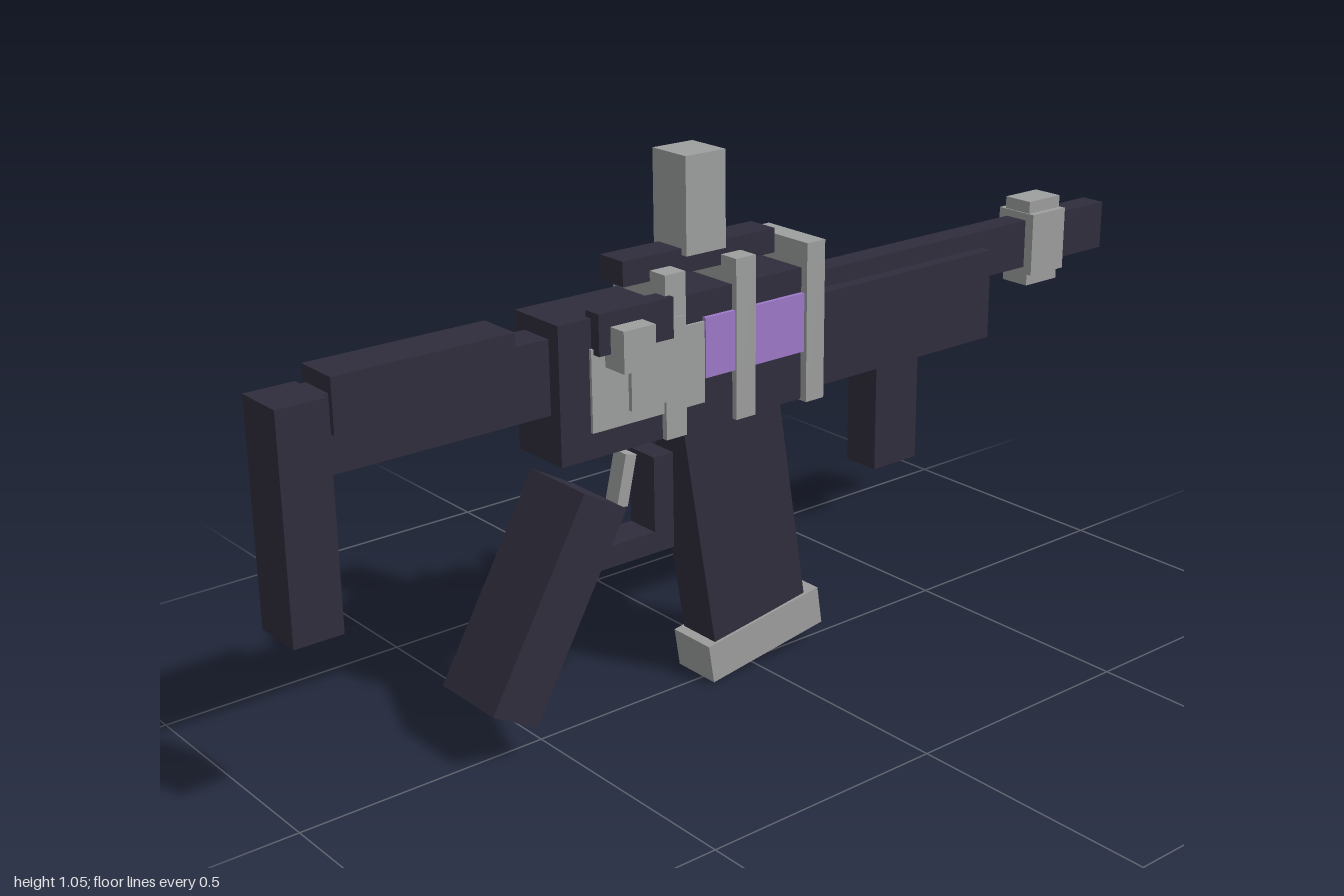
import * as THREE from 'three';

const material = (name, color) => {
  const m = new THREE.MeshStandardMaterial({ color });
  m.name = name;
  return m;
};

export function createModel() {
  const dark = material('dark polymer', 0x2f2d3c);
  const grey = material('grey metal', 0x9d9e9f);
  const purple = material('purple inlay', 0x9c78c8);

  const model = new THREE.Group();
  model.name = 'blockyRifle';
  const MID = -0.02; // centre plane of the body

  // Upright block from its x, y and z limits
  function block(name, mat, x0, x1, y0, y1, z0, z1) {
    const mesh = new THREE.Mesh(new THREE.BoxGeometry(x1 - x0, y1 - y0, z1 - z0), mat);
    mesh.position.set((x0 + x1) / 2, (y0 + y1) / 2, (z0 + z1) / 2);
    mesh.name = name;
    model.add(mesh);
    return mesh;
  }
  // Upright block centred on the body plane
  const centred = (name, mat, x0, x1, y0, y1, half) =>
    block(name, mat, x0, x1, y0, y1, MID - half, MID + half);

  // Tilted block centred on the body plane
  function tilted(name, mat, x, y, width, height, half, degrees) {
    const mesh = centred(name, mat, -width / 2, width / 2, -height / 2, height / 2, half);
    mesh.position.set(x, y, MID);
    mesh.rotation.z = THREE.MathUtils.degToRad(degrees);
  }

  // Stock
  centred('buttPlate', dark, -1, -0.905, 0.355, 0.77, 0.052);
  centred('stockTube', dark, -0.905, -0.465, 0.63, 0.77, 0.036);
  centred('cheekRest', dark, -0.895, -0.54, 0.70, 0.8, 0.046);

  // Receiver, barrel and handguard
  centred('receiver', dark, -0.465, 0.1, 0.54, 0.8, 0.064);
  centred('barrel', dark, 0.1, 1, 0.67, 0.77, 0.026);
  centred('handguard', dark, 0.12, 0.625, 0.55, 0.735, 0.053);
  centred('foregrip', dark, 0.32, 0.435, 0.33, 0.56, 0.04);

  // Muzzle collar, a cross of two blocks
  centred('muzzleCollarWide', grey, 0.757, 0.855, 0.655, 0.785, 0.047);
  centred('muzzleCollarTall', grey, 0.76, 0.852, 0.63, 0.81, 0.033);

  // Bands around the receiver
  for (const x of [-0.24, -0.075]) centred('receiverBand', grey, x, x + 0.047, 0.54, 0.85, 0.076);
  centred('frontCollar', grey, 0.095, 0.14, 0.537, 0.85, 0.08);

  // Side plates and purple inlays on both flanks
  for (const side of [-1, 1]) {
    const plate = (name, mat, x0, x1, y0, y1, inner, outer) => {
      const a = MID + side * inner, b = MID + side * outer;
      block(name, mat, x0, x1, y0, y1, Math.min(a, b), Math.max(a, b));
    };
    plate('sidePlate', grey, -0.4, -0.145, 0.59, 0.745, 0.06, 0.07);
    plate('raisedPlate', grey, -0.32, -0.2, 0.615, 0.77, 0.06, side < 0 ? 0.086 : 0.079);
    plate('inlay', purple, -0.145, 0.096, 0.637, 0.752, 0.064, 0.073);
  }

  // Charging handle on the front flank
  block('handleCover', dark, -0.395, -0.23, 0.735, 0.812, 0.03, 0.067);
  block('chargingKnob', grey, -0.37, -0.3, 0.707, 0.785, 0.04, 0.105);

  // Top rail and sight
  centred('topRail', dark, -0.3, 0.055, 0.83, 0.877, 0.033);
  centred('sight', grey, -0.167, -0.075, 0.865, 1.048, 0.047);

  // Pistol grip, trigger and guard
  tilted('pistolGrip', dark, -0.49, 0.277, 0.106, 0.425, 0.081, -29.8);
  centred('guardPost', dark, -0.24, -0.195, 0.305, 0.495, 0.036);
  centred('guardBar', dark, -0.42, -0.205, 0.305, 0.347, 0.036);
  tilted('trigger', grey, -0.289, 0.457, 0.025, 0.1, 0.018, -13);

  // Magazine
  tilted('magazine', dark, -0.03, 0.347, 0.233, 0.5, 0.047, 9);
  tilted('magazineBase', grey, 0.021, 0.0615, 0.285, 0.08, 0.053, 8.6);

  return model;
}
